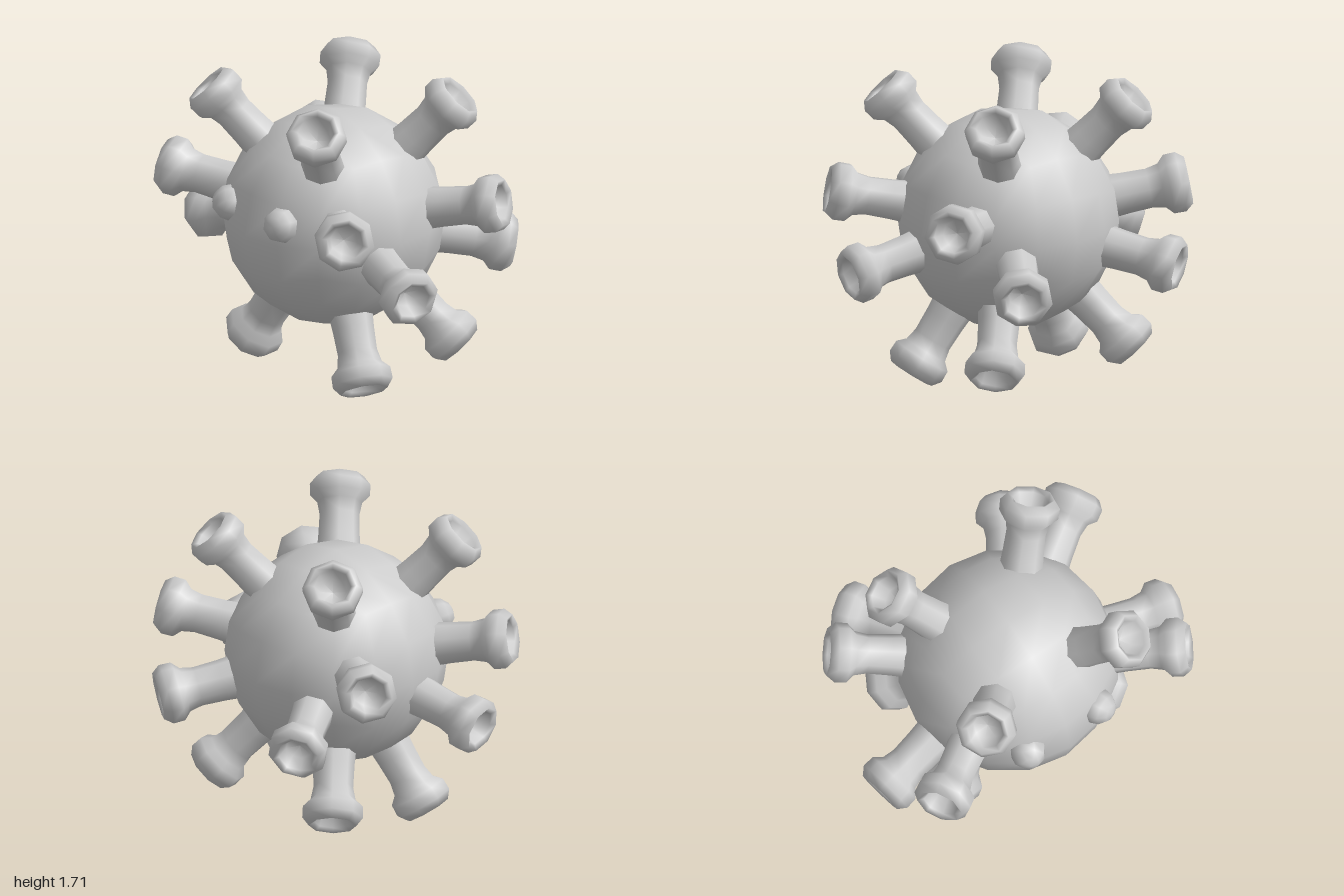
import * as THREE from 'three';

const material = new THREE.MeshStandardMaterial({ color: 0xcccccc });
const CENTRE = new THREE.Vector3(0, 0.905, 0.112);
const RADIUS = 0.607;
const UP = new THREE.Vector3(0, 1, 0);

// Quad sphere: a subdivided cube pushed out to a radius, smooth shaded
function quadSphere(radius, segments) {
  const geometry = new THREE.BoxGeometry(2, 2, 2, segments, segments, segments);
  const { position, normal } = geometry.attributes;
  const v = new THREE.Vector3();
  for (let i = 0; i < position.count; i++) {
    v.fromBufferAttribute(position, i);
    for (const axis of ['x', 'y', 'z']) v[axis] = Math.tan(v[axis] * Math.PI / 4);
    v.normalize();
    normal.setXYZ(i, v.x, v.y, v.z);
    position.setXYZ(i, v.x * radius, v.y * radius, v.z * radius);
  }
  return geometry;
}

// Stem, flared collar, rim and hollow cup; height is the distance from the body centre
const spikeProfile = [
  [0.125, 0.5], [0.113, 0.65], [0.108, 0.78], [0.122, 0.85], [0.163, 0.89],
  [0.165, 0.955], [0.13, 1.0], [0.1, 0.98], [0.075, 0.9], [0, 0.885],
].map(([r, h]) => new THREE.Vector2(r, h));

// Directions of the spikes on the left side; each is mirrored to the right
const spikeDirections = {
  upperFrontSpike: [0.485, 0.715, 0.49],
  upperBackSpike: [0.485, 0.715, -0.49],
  sideFrontSpike: [0.81, 0.18, 0.535],
  sideBackSpike: [0.81, 0.18, -0.53],
  sideSpike: [0.965, -0.2, 0.18],
  backSpike: [0.54, -0.19, -0.82],
  lowerFrontSpike: [0.52, -0.83, 0.185],
  lowerBackSpike: [0.485, -0.715, -0.49],
};

export function createModel() {
  const model = new THREE.Group();

  const body = new THREE.Mesh(quadSphere(RADIUS, 4), material);
  body.name = 'body';
  body.position.copy(CENTRE);
  model.add(body);

  const spikeGeometry = new THREE.LatheGeometry(spikeProfile, 8);
  const eyeGeometry = new THREE.SphereGeometry(0.1, 8, 6);

  for (const [side, sign] of [['left', 1], ['right', -1]]) {
    // Hollow-ended spikes
    for (const [name, [x, y, z]] of Object.entries(spikeDirections)) {
      const spike = new THREE.Mesh(spikeGeometry, material);
      spike.name = `${name}_${side}`;
      spike.position.copy(CENTRE);
      spike.quaternion.setFromUnitVectors(UP, new THREE.Vector3(sign * x, y, z).normalize());
      model.add(spike);
    }
    // Bead eyes
    const eye = new THREE.Mesh(eyeGeometry, material);
    eye.name = `eye_${side}`;
    eye.position.set(sign * 0.23, 1.02, 0.64);
    eye.quaternion.setFromUnitVectors(UP, eye.position.clone().sub(CENTRE).normalize());
    model.add(eye);
  }
  return model;
}
